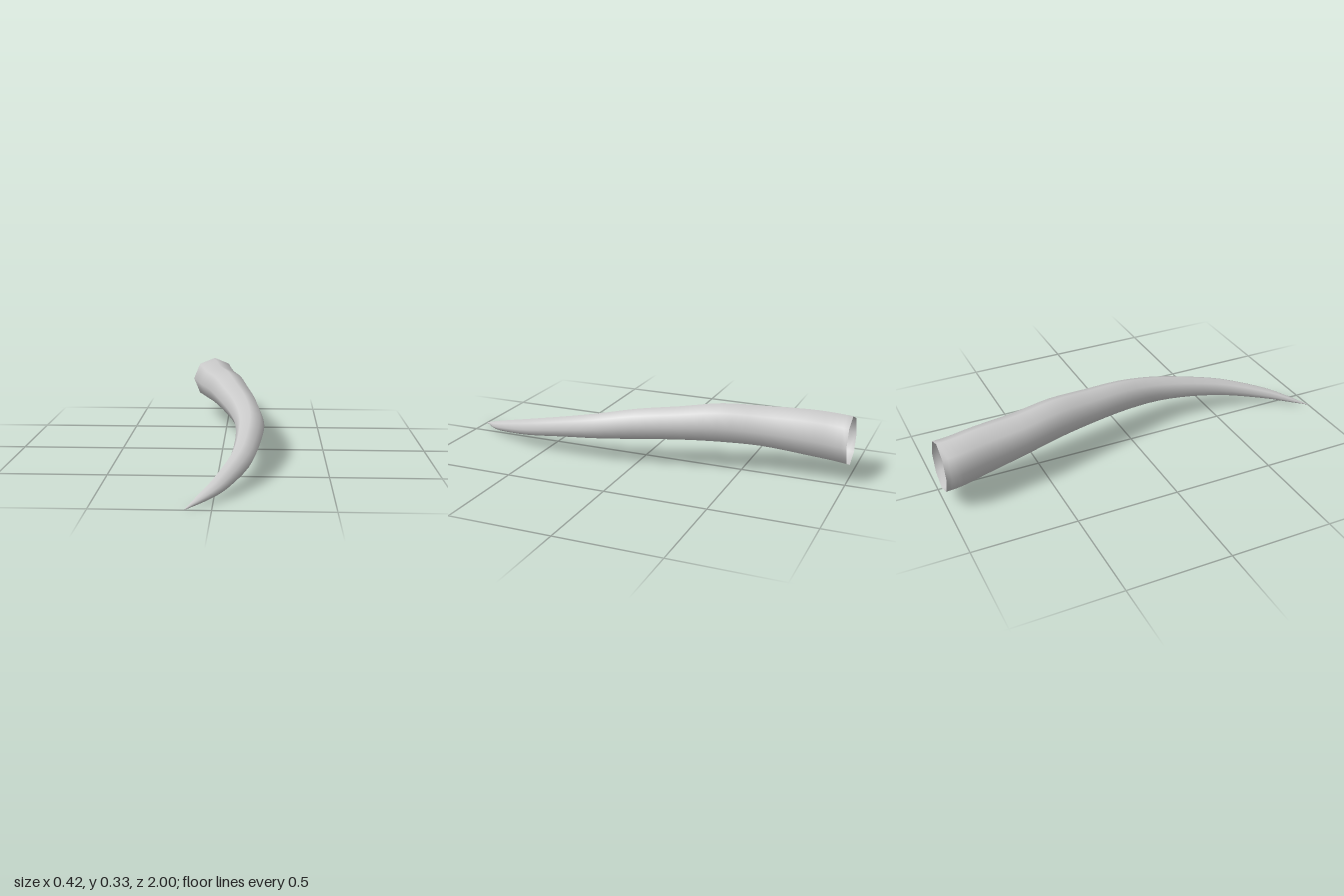
import * as THREE from 'three';

// Stations along the horn: z, centre x, centre y, half width, half height
const STATIONS = [
  [-1.0, -0.09, 0.19, 0.12, 0.12],
  [-0.92, -0.09, 0.198, 0.12, 0.119],
  [-0.8, -0.072, 0.21, 0.115, 0.115],
  [-0.6, -0.04, 0.223, 0.109, 0.102],
  [-0.4, 0.01, 0.23, 0.1, 0.098],
  [-0.2, 0.06, 0.217, 0.089, 0.085],
  [0.0, 0.107, 0.2, 0.078, 0.078],
  [0.2, 0.138, 0.172, 0.069, 0.065],
  [0.4, 0.132, 0.139, 0.059, 0.053],
  [0.6, 0.102, 0.1, 0.052, 0.044],
  [0.8, 0.026, 0.055, 0.042, 0.029],
  [0.9, -0.034, 0.029, 0.03, 0.017],
  [1.0, -0.11, 0.002, 0.001, 0.001],
];
const SIDES = 8;
const RINGS = 36;

export function createModel() {
  const group = new THREE.Group();
  group.name = 'horn';

  // Smooth curves for the centre line and for the two radii
  const centres = new THREE.CatmullRomCurve3(
    STATIONS.map(([z, x, y]) => new THREE.Vector3(x, y, z)), false, 'catmullrom', 0.5);
  const radii = new THREE.CatmullRomCurve3(
    STATIONS.map(([z, , , rx, ry]) => new THREE.Vector3(rx, ry, z)), false, 'catmullrom', 0.5);

  // Eight-sided rings lofted from the open base to the pointed tip
  const positions = [];
  const indices = [];
  for (let i = 0; i <= RINGS; i++) {
    const c = centres.getPoint(i / RINGS);
    const r = radii.getPoint(i / RINGS);
    for (let j = 0; j < SIDES; j++) {
      const a = (j / SIDES) * Math.PI * 2;
      positions.push(c.x + Math.cos(a) * r.x, c.y + Math.sin(a) * r.y, c.z);
      if (i < RINGS) {
        const p = i * SIDES + j;
        const q = i * SIDES + ((j + 1) % SIDES);
        indices.push(p, q, q + SIDES, p, q + SIDES, p + SIDES);
      }
    }
  }
  const geometry = new THREE.BufferGeometry();
  geometry.setAttribute('position', new THREE.Float32BufferAttribute(positions, 3));
  geometry.setIndex(indices);
  geometry.computeVertexNormals();

  const shell = new THREE.Mesh(geometry, new THREE.MeshStandardMaterial({
    color: 0xcccccc, side: THREE.DoubleSide,
  }));
  shell.name = 'hornShell';
  group.add(shell);
  return group;
}
